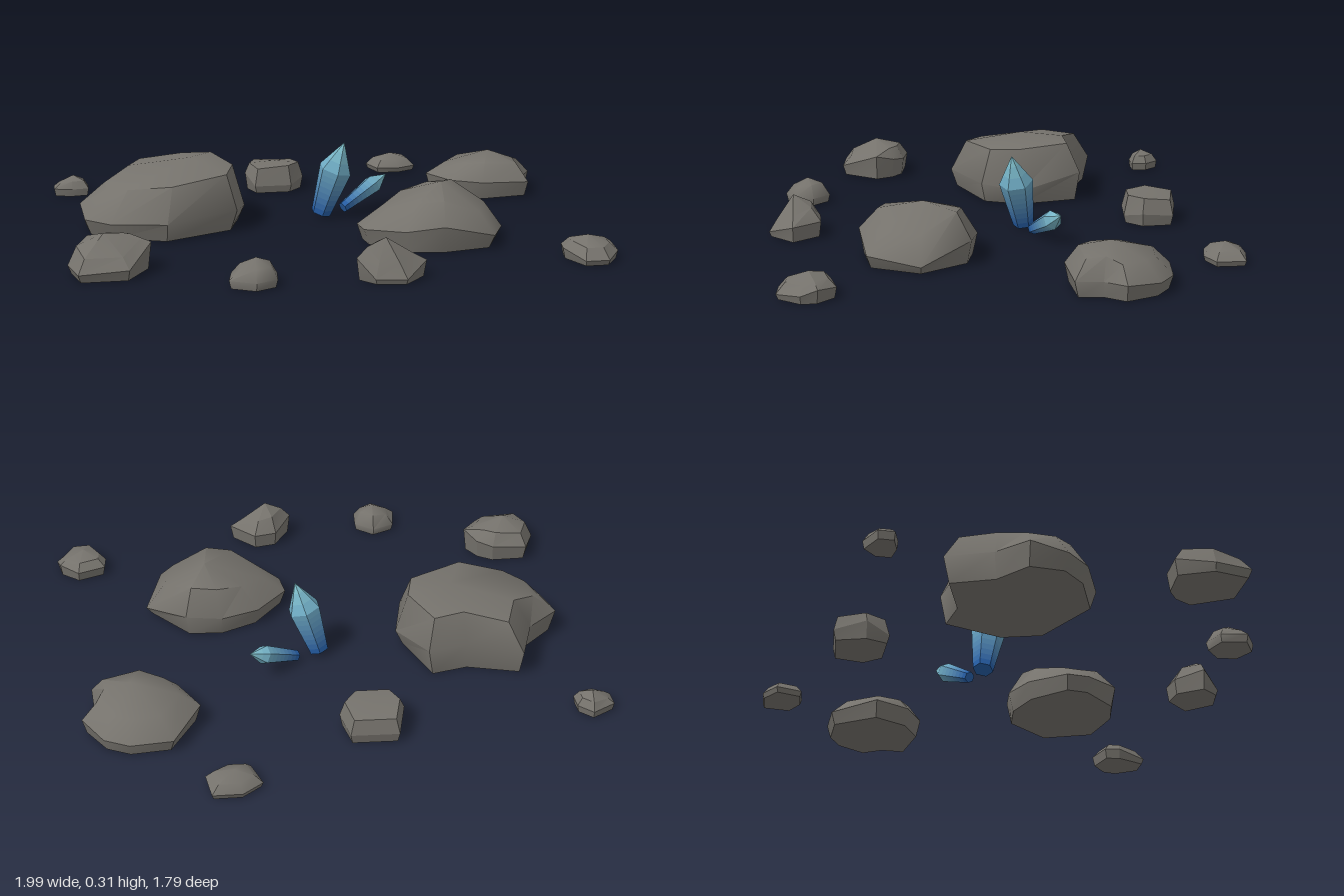
import * as THREE from 'three';
import { toCreasedNormals } from 'three/addons/utils/BufferGeometryUtils.js';

const stone = new THREE.MeshStandardMaterial({ color: 0x75726c });

// Rock lofted through a base, rim and shoulder ring to a crown point.
// outline: [x, z, rimY, shoulderY], clockwise from above; crown: [x, y, z];
// inset: how far the shoulder is pulled towards the crown.
function rock(name, outline, crown, inset, crease) {
  const n = outline.length;
  const top = new THREE.Vector3(...crown);
  const foot = new THREE.Vector3();
  outline.forEach(([x, z]) => foot.add(new THREE.Vector3(x / n, 0, z / n)));
  const mix = THREE.MathUtils.lerp;
  const rings = [
    outline.map(([x, z]) => new THREE.Vector3(mix(x, foot.x, 0.08), 0, mix(z, foot.z, 0.08))),
    outline.map(([x, z, y]) => new THREE.Vector3(x, y, z)),
    outline.map(([x, z, , y]) => new THREE.Vector3(mix(x, top.x, inset), y, mix(z, top.z, inset))),
  ];
  const tris = [];
  for (let i = 0; i < n; i++) {
    const j = (i + 1) % n;
    for (let r = 0; r < 2; r++) {
      const a = rings[r][i], b = rings[r][j], c = rings[r + 1][i], d = rings[r + 1][j];
      tris.push(a, c, b, b, c, d);
    }
    tris.push(rings[2][i], top, rings[2][j]);
    tris.push(rings[0][i], rings[0][j], foot);
  }
  const geometry = new THREE.BufferGeometry().setFromPoints(tris);
  const mesh = new THREE.Mesh(toCreasedNormals(geometry, crease), stone);
  mesh.name = name;
  return mesh;
}

// Six-sided crystal from base to tip, banded from deep blue to pale teal.
function crystal(name, base, tip, baseRadius, wideRadius, wideAt) {
  const group = new THREE.Group();
  group.name = name;
  const from = new THREE.Vector3(...base);
  const axis = new THREE.Vector3(...tip).sub(from);
  const length = axis.length();
  const bands = 8;
  const stops = [];
  for (let i = 0; i <= bands; i++) stops.push((wideAt * i) / bands);
  for (let i = 1; i <= 3; i++) stops.push(wideAt + ((1 - wideAt) * i) / 3);
  const radius = (t) => t <= wideAt
    ? THREE.MathUtils.lerp(baseRadius, wideRadius, t / wideAt)
    : wideRadius * Math.max(0, (1 - t) / (1 - wideAt));
  for (let i = 0; i < stops.length - 1; i++) {
    const t0 = stops[i], t1 = stops[i + 1];
    const geometry = new THREE.CylinderGeometry(radius(t1), radius(t0), (t1 - t0) * length, 6, 1, i > 0);
    geometry.translate(0, ((t0 + t1) / 2) * length, 0);
    const color = new THREE.Color(0x1c58a6).lerp(new THREE.Color(0x82c2cc), (t0 + t1) / 2);
    const band = new THREE.Mesh(geometry, new THREE.MeshStandardMaterial({ color, flatShading: true }));
    band.name = i <= bands - 1 ? 'crystalShaft' : 'crystalPoint';
    group.add(band);
  }
  group.position.copy(from);
  group.quaternion.setFromUnitVectors(new THREE.Vector3(0, 1, 0), axis.normalize());
  return group;
}

export function createModel() {
  const model = new THREE.Group();
  model.name = 'rocksAndCrystals';

  // Three large, worn boulders
  model.add(rock('largeBoulder', [
    [-0.71, -0.37, 0.1, 0.21], [-0.5, -0.3, 0.12, 0.24], [-0.35, -0.32, 0.12, 0.235],
    [-0.27, -0.08, 0.06, 0.225], [-0.32, 0.08, 0.08, 0.215], [-0.6, 0.21, 0.07, 0.2],
    [-0.81, 0.13, 0.06, 0.18], [-0.9, 0.04, 0.06, 0.17], [-0.91, -0.1, 0.09, 0.17],
    [-0.78, -0.2, 0.1, 0.215],
  ], [-0.48, 0.26, -0.08], 0.22, 0.75));
  model.add(rock('frontBoulder', [
    [0.39, 0.09, 0.08, 0.18], [0.53, 0.11, 0.09, 0.19], [0.67, 0.29, 0.03, 0.13],
    [0.59, 0.49, 0.05, 0.13], [0.39, 0.53, 0.1, 0.18], [0.25, 0.5, 0.08, 0.17],
    [0.12, 0.36, 0.06, 0.13], [0.11, 0.27, 0.06, 0.13], [0.24, 0.14, 0.07, 0.16],
  ], [0.43, 0.215, 0.29], 0.3, 0.75));
  model.add(rock('backBoulder', [
    [0.66, -0.6, 0.05, 0.12], [0.82, -0.6, 0.05, 0.12], [0.91, -0.55, 0.05, 0.12],
    [0.98, -0.43, 0.06, 0.12], [0.93, -0.35, 0.06, 0.14], [0.93, -0.25, 0.06, 0.13],
    [0.73, -0.22, 0.07, 0.14], [0.61, -0.29, 0.07, 0.13], [0.54, -0.43, 0.07, 0.12],
  ], [0.79, 0.172, -0.38], 0.3, 0.75));

  // Mid-sized angular stones
  model.add(rock('flatStone', [
    [-0.16, -0.69, 0.04, 0.1], [0.02, -0.67, 0.04, 0.1], [0.04, -0.55, 0.05, 0.11],
    [-0.02, -0.48, 0.03, 0.11], [-0.17, -0.48, 0.03, 0.1], [-0.2, -0.57, 0.07, 0.11],
  ], [-0.08, 0.112, -0.59], 0.15, 0.4));
  model.add(rock('leftStone', [
    [-0.93, 0.41, 0.06, 0.11], [-0.79, 0.42, 0.07, 0.12], [-0.73, 0.46, 0.08, 0.12],
    [-0.69, 0.53, 0.1, 0.11], [-0.78, 0.68, 0.04, 0.08], [-0.96, 0.68, 0.03, 0.08],
    [-0.99, 0.54, 0.03, 0.1],
  ], [-0.86, 0.143, 0.54], 0.25, 0.4));
  model.add(rock('peakedStone', [
    [0.08, 0.7, 0.06, 0.12], [0.17, 0.69, 0.06, 0.11], [0.26, 0.79, 0.06, 0.09],
    [0.17, 0.89, 0.02, 0.07], [0.06, 0.87, 0.02, 0.08], [0.005, 0.8, 0.08, 0.12],
  ], [0.11, 0.152, 0.8], 0.35, 0.4));

  // Small pebbles
  model.add(rock('frontPebble', [
    [-0.34, 0.7, 0.03, 0.08], [-0.27, 0.76, 0.03, 0.08], [-0.28, 0.84, 0.03, 0.07],
    [-0.36, 0.88, 0.03, 0.07], [-0.45, 0.83, 0.03, 0.06], [-0.43, 0.73, 0.03, 0.07],
  ], [-0.35, 0.1, 0.79], 0.35, 0.9));
  model.add(rock('rightPebble', [
    [0.92, 0.57, 0.04, 0.07], [0.99, 0.63, 0.05, 0.07], [1, 0.69, 0.03, 0.06],
    [0.94, 0.78, 0.02, 0.06], [0.85, 0.78, 0.02, 0.06], [0.8, 0.66, 0.04, 0.07],
    [0.81, 0.6, 0.04, 0.07],
  ], [0.89, 0.09, 0.67], 0.3, 0.4));
  model.add(rock('backPebble', [
    [0.45, -0.9, 0.02, 0.05], [0.56, -0.89, 0.02, 0.05], [0.57, -0.78, 0.02, 0.05],
    [0.49, -0.74, 0.02, 0.05], [0.4, -0.75, 0.02, 0.05], [0.37, -0.85, 0.02, 0.05],
  ], [0.47, 0.072, -0.82], 0.3, 0.7));
  model.add(rock('leftPebble', [
    [-0.9, -0.68, 0.03, 0.06], [-0.85, -0.63, 0.03, 0.06], [-0.85, -0.57, 0.03, 0.06],
    [-0.92, -0.56, 0.03, 0.06], [-0.99, -0.58, 0.03, 0.05], [-0.99, -0.64, 0.03, 0.05],
  ], [-0.91, 0.08, -0.61], 0.3, 0.5));

  // Crystal pair
  model.add(crystal('tallCrystal', [0.035, 0.014, -0.085], [0.12, 0.305, -0.038], 0.04, 0.066, 0.62));
  model.add(crystal('smallCrystal', [0.13, 0.02, -0.12], [0.325, 0.125, -0.222], 0.022, 0.038, 0.7));

  return model;
}
